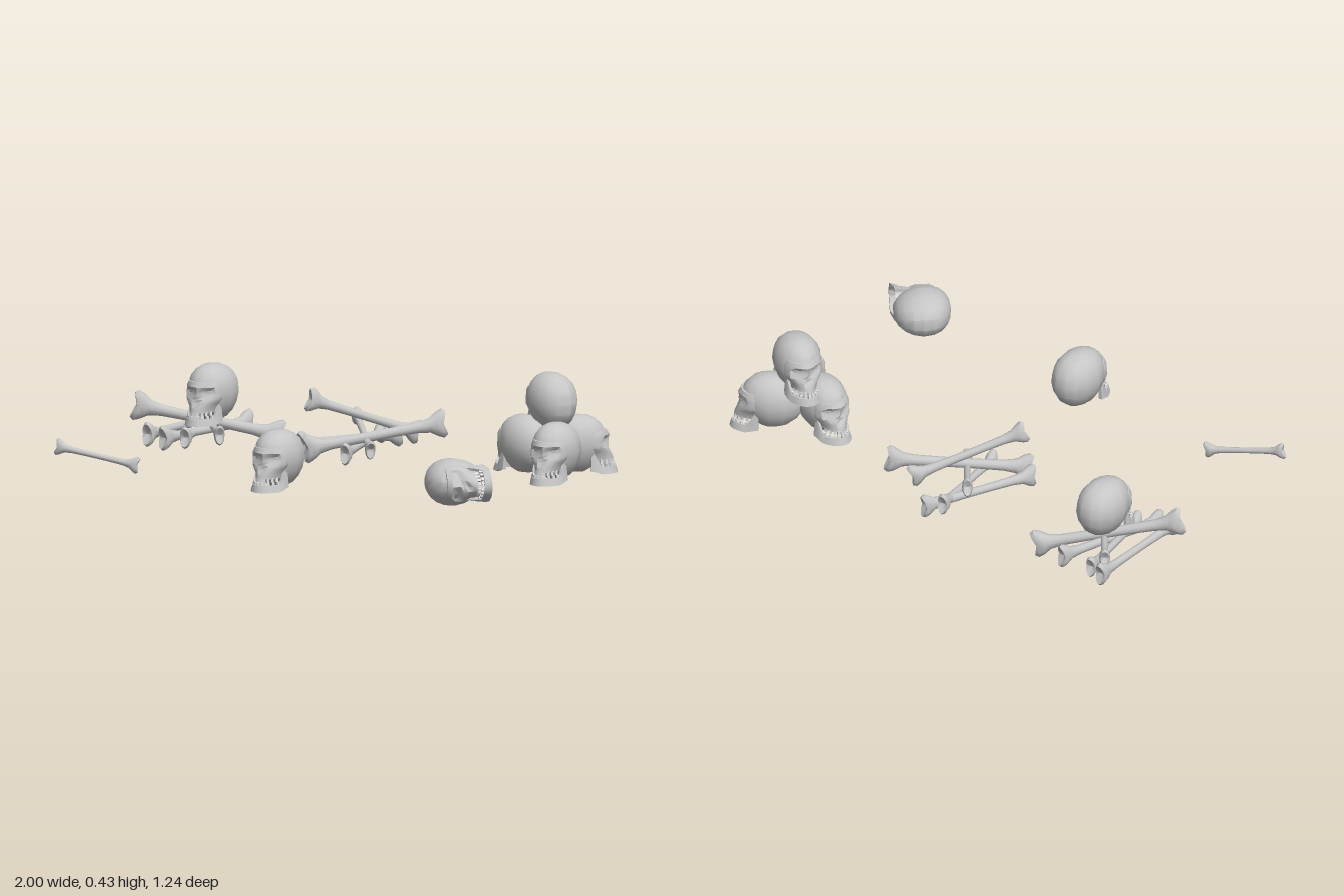
import * as THREE from 'three';
import { mergeGeometries, toCreasedNormals } from 'three/addons/utils/BufferGeometryUtils.js';

const boneMaterial = new THREE.MeshStandardMaterial({ color: 0xc6c6c6 });
boneMaterial.name = 'bone grey';
const toothMaterial = new THREE.MeshStandardMaterial({ color: 0xe6e6e6 });
toothMaterial.name = 'tooth white';

const V = (x, y, z) => new THREE.Vector3(x, y, z);

// Skin closed rings of points, capped at both ends by the given centres
function loft(rings, startCentre, endCentre) {
  const n = rings[0].length;
  const points = [...rings.flat(), startCentre, endCentre];
  const index = [];
  const s = points.length - 2, e = s + 1, last = (rings.length - 1) * n;
  for (let j = 0; j < n; j++) {
    const k = (j + 1) % n;
    for (let i = 0; i < rings.length - 1; i++) {
      const a = i * n + j, b = i * n + k;
      index.push(a, b, b + n, a, b + n, a + n);
    }
    index.push(s, k, j, e, last + j, last + k);
  }
  const g = new THREE.BufferGeometry().setFromPoints(points);
  g.setIndex(index);
  return g;
}

const finish = (g, crease) => {
  g.deleteAttribute('uv');
  g.deleteAttribute('normal');
  g.computeVertexNormals();
  return toCreasedNormals(g, crease);
};

// Press eye sockets and the nose hollow into the front of the head
function pressSockets(g) {
  const p = g.attributes.position;
  for (let i = 0; i < p.count; i++) {
    const x = p.getX(i), y = p.getY(i), z = p.getZ(i);
    if (z < 0.04) continue;
    const eye = Math.exp(-((Math.abs(x) - 0.037) ** 2 + (y - 0.125) ** 2) / 0.00035);
    const nose = Math.exp(-(x ** 2 + (y - 0.088) ** 2) / 0.00018);
    p.setZ(i, z - 0.024 * eye - 0.014 * nose);
  }
  return g;
}

function craniumGeometry() {
  const g = new THREE.SphereGeometry(1, 14, 10);
  const p = g.attributes.position;
  const boxy = (v) => Math.sign(v) * Math.abs(v) ** 0.9;
  for (let i = 0; i < p.count; i++) {
    const x = boxy(p.getX(i)), y = boxy(p.getY(i)), z = boxy(p.getZ(i));
    const low = Math.max(0, -y);
    p.setXYZ(i,
      x * 0.092 * (1 - 0.18 * Math.max(0, z)) * (1 - 0.15 * low),
      Math.max(0.006, 0.113 + y * 0.112),
      -0.012 + z * (z > 0 ? 0.115 * (1 - 0.4 * low) : 0.13));
  }
  return finish(pressSockets(g), 0.6);
}

// Brow, cheeks and upper jaw: [height, front, half width]
function faceGeometry() {
  const rows = [[0.05, 0.126, 0.05], [0.068, 0.122, 0.054], [0.086, 0.116, 0.066],
    [0.1, 0.11, 0.076], [0.115, 0.108, 0.077], [0.13, 0.107, 0.076],
    [0.147, 0.11, 0.074], [0.165, 0.098, 0.066]];
  const n = 20;
  const rings = rows.map(([y, front, w]) => Array.from({ length: n }, (_, j) => {
    const a = j / n * Math.PI * 2, c = Math.cos(a);
    return V(w * Math.sin(a), y, 0.03 + (c > 0 ? (front - 0.03) * c : 0.03 * c));
  }));
  return finish(pressSockets(loft(rings, V(0, 0.055, 0.05), V(0, 0.17, 0.04))), 0.6);
}

// U-shaped lower jaw that rises into a branch at each end
function jawGeometry() {
  const rings = [];
  for (let i = 0; i <= 20; i++) {
    const t = (i / 20 - 0.5) * Math.PI;
    const s = Math.sin(t), c = Math.cos(t);
    const rise = Math.max(0, (Math.abs(s) - 0.92) / 0.08);
    const top = 0.027 + 0.06 * rise, bottom = 0.012 * rise;
    const at = (w, d, y) => V(w * s, y, 0.03 + d * c);
    rings.push([at(0.054, 0.092, top), at(0.064, 0.104, top), at(0.072, 0.112, bottom), at(0.056, 0.092, bottom)]);
  }
  const mid = (r) => r.reduce((m, p) => m.add(p), V(0, 0, 0)).multiplyScalar(0.25);
  return finish(loft(rings, mid(rings[0]), mid(rings[20])), 0.6);
}

// Two curved rows of small teeth
function teethGeometry() {
  const teeth = [];
  for (const [y, w, d] of [[0.046, 0.046, 0.09], [0.03, 0.056, 0.096]]) {
    for (let i = 0; i < 9; i++) {
      const t = (i - 4) * 0.27;
      const tooth = new THREE.BoxGeometry(0.01, 0.016, 0.009);
      tooth.rotateY(t).translate(w * Math.sin(t), y, 0.03 + d * Math.cos(t));
      teeth.push(tooth);
    }
  }
  return mergeGeometries(teeth);
}

// Unit-length bone along x: [position, half height, half depth], mirrored, with notched ends
function longBoneGeometry() {
  const half = [[0.12, 0.033, 0.032], [0.3, 0.037, 0.035], [0.38, 0.05, 0.041],
    [0.435, 0.086, 0.05], [0.47, 0.1, 0.053], [0.495, 0.082, 0.042]];
  const rows = [...half.map(([x, h, d]) => [-x, h, d]).reverse(), ...half];
  const n = 12;
  const rings = rows.map(([x, h, d]) => Array.from({ length: n }, (_, j) => {
    const a = j / n * Math.PI * 2, c = Math.cos(a);
    const notch = Math.abs(x) > 0.43 ? 0.03 * (1 - Math.abs(c)) : 0;
    return V(x - Math.sign(x) * notch, h * c, d * Math.sin(a));
  }));
  return finish(loft(rings, V(-0.45, 0, 0), V(0.45, 0, 0)), 0.8);
}

export function createModel() {
  const model = new THREE.Group();
  model.name = 'skullsAndBones';
  const parts = [
    ['cranium', craniumGeometry(), boneMaterial],
    ['face', faceGeometry(), boneMaterial],
    ['lowerJaw', jawGeometry(), boneMaterial],
    ['teeth', teethGeometry(), toothMaterial],
  ];
  const boneShape = longBoneGeometry();

  const group = (name) => {
    const g = new THREE.Group();
    g.name = name;
    model.add(g);
    return g;
  };
  const addSkull = (parent, name, x, y, z, yaw = 0) => {
    const skull = new THREE.Group();
    skull.name = name;
    for (const [part, geometry, material] of parts) {
      const mesh = new THREE.Mesh(geometry, material);
      mesh.name = part;
      skull.add(mesh);
    }
    skull.position.set(x, y, z);
    skull.rotation.y = yaw;
    parent.add(skull);
    return skull;
  };
  // Bone between two end points, with its forked ends upright
  const addBone = (parent, a, b) => {
    const from = V(...a), to = V(...b);
    const along = to.clone().sub(from), length = along.length();
    along.normalize();
    const side = along.clone().cross(V(0, 1, 0)).normalize();
    const up = side.clone().cross(along);
    const bone = new THREE.Mesh(boneShape, boneMaterial);
    bone.name = 'longBone';
    bone.quaternion.setFromRotationMatrix(new THREE.Matrix4().makeBasis(along, up, side));
    bone.position.copy(from).add(to).multiplyScalar(0.5);
    bone.scale.setScalar(length);
    parent.add(bone);
  };

  // Skull resting on crossed bones
  const skullOnBones = group('skullOnBones');
  addSkull(skullOnBones, 'restingSkull', -0.735, 0.128, -0.36);
  [[[-0.885, 0.1, -0.12], [-0.88, 0.09, -0.61]],
    [[-0.745, 0.09, -0.17], [-0.83, 0.1, -0.6]],
    [[-0.82, 0.09, -0.12], [-0.685, 0.1, -0.6]],
    [[-1, 0.195, -0.22], [-0.51, 0.065, -0.54]],
    [[-0.62, 0.1, -0.23], [-0.86, 0.12, -0.54]]].forEach(([a, b]) => addBone(skullOnBones, a, b));

  // Heap of bones
  const boneHeap = group('boneHeap');
  [[[-0.25, 0.11, -0.17], [-0.04, 0.1, -0.62]],
    [[-0.03, 0.09, -0.14], [-0.105, 0.11, -0.58]],
    [[0.05, 0.1, -0.21], [-0.18, 0.18, -0.51]],
    [[-0.21, 0.29, -0.17], [0.1, 0.13, -0.51]],
    [[-0.2, 0.1, -0.12], [0.21, 0.18, -0.52]]].forEach(([a, b]) => addBone(boneHeap, a, b));

  // Pyramid of four skulls
  const skullPile = group('skullPile');
  addSkull(skullPile, 'frontSkull', 0.855, 0.055, -0.195, 0.08);
  addSkull(skullPile, 'rearSkull', 0.85, 0.055, -0.42, 2.18);
  addSkull(skullPile, 'sideSkull', 0.65, 0.055, -0.315, -1.93);
  addSkull(skullPile, 'topSkull', 0.745, 0.22, -0.355, -2.16);

  // Loose pieces in the front row
  const loose = group('loosePieces');
  addBone(loose, [-0.94, 0.145, 0.495], [-0.62, 0.08, 0.405]);
  addSkull(loose, 'standingSkull', 0.003, 0.055, 0.455);
  const lying = addSkull(loose, 'lyingSkull', 0, 0, 0);
  const forward = V(0.67, 0, 0.74).normalize();
  const up = V(-forward.z, 0, forward.x);
  lying.quaternion.setFromRotationMatrix(new THREE.Matrix4().makeBasis(V(0, 1, 0), up, forward));
  lying.position.set(0.815, 0.15, 0.505).addScaledVector(up, -0.11);
  return model;
}
